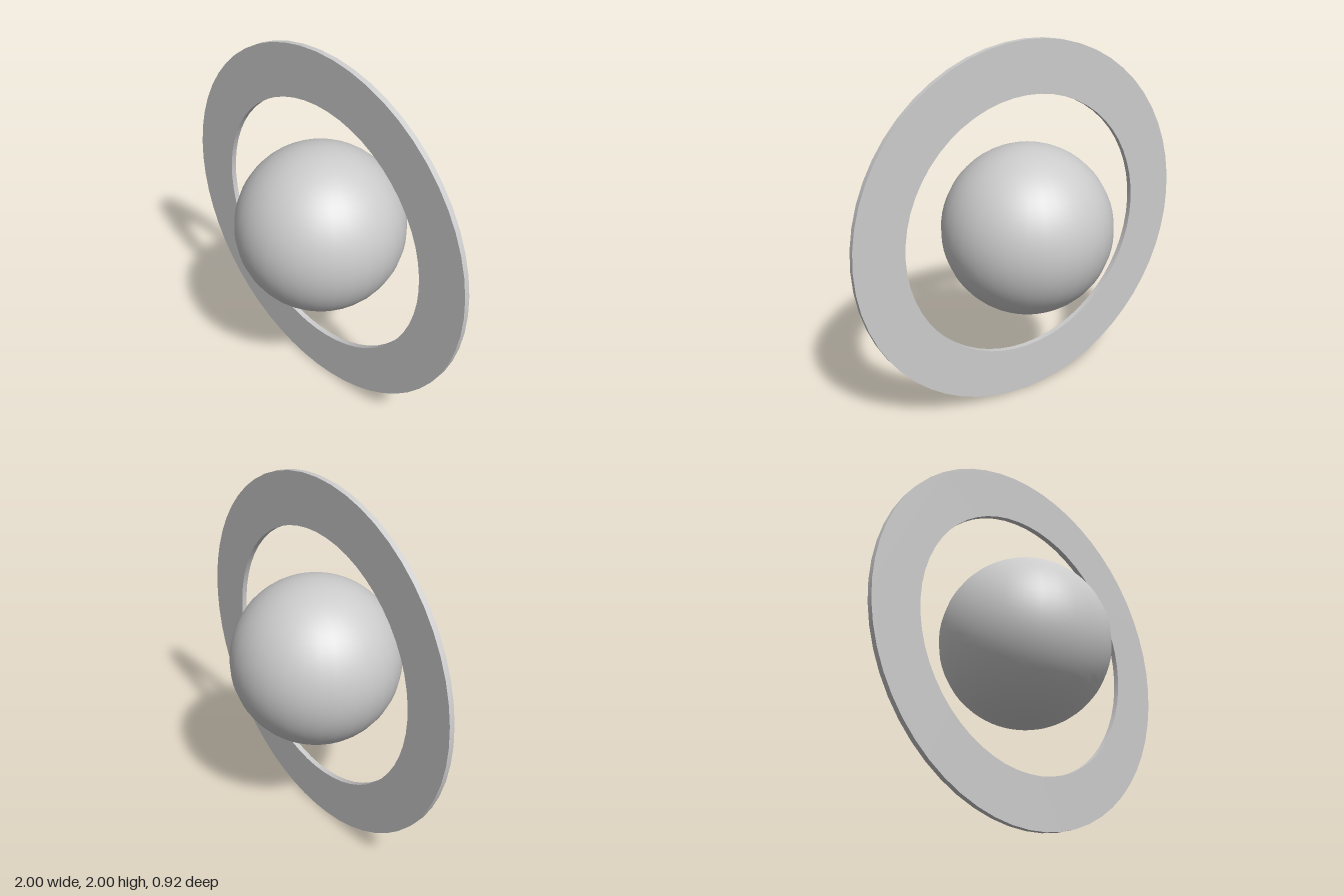
import * as THREE from 'three';
import { toCreasedNormals } from 'three/addons/utils/BufferGeometryUtils.js';

const CENTRE_Y = 1;

export function createModel() {
  const model = new THREE.Group();
  model.name = 'ringedPlanet';
  const material = new THREE.MeshStandardMaterial({ color: 0xcccccc });

  // Round body
  const planet = new THREE.Mesh(new THREE.SphereGeometry(0.46, 32, 32), material);
  planet.name = 'planet';
  planet.position.y = CENTRE_Y;
  model.add(planet);

  // Flat upright ring, its back face on the planet's middle plane
  const outline = new THREE.Shape().absarc(0, 0, 1, 0, Math.PI * 2, false);
  outline.holes.push(new THREE.Path().absarc(0, 0, 0.722, 0, Math.PI * 2, true));
  const ringGeometry = new THREE.ExtrudeGeometry(outline, {
    depth: 0.03,
    bevelEnabled: false,
    curveSegments: 28,
  });
  const ring = new THREE.Mesh(toCreasedNormals(ringGeometry, Math.PI / 6), material);
  ring.name = 'ring';
  ring.position.y = CENTRE_Y;
  model.add(ring);

  return model;
}
